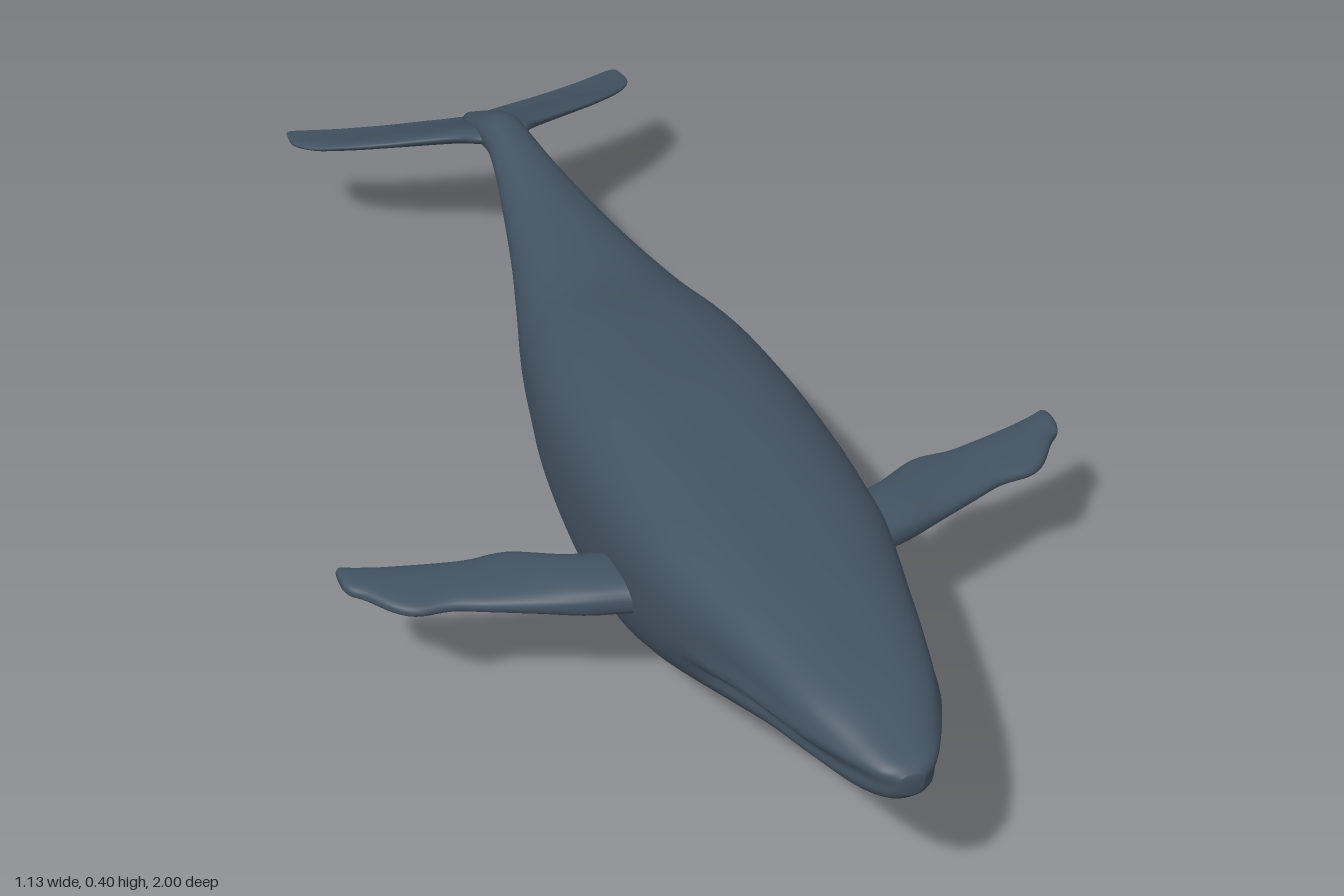
import * as THREE from 'three';

const slate = new THREE.MeshStandardMaterial({ color: 0x435362 });
slate.name = 'slate blue';

// Closed skin through rings of points; the first and last rings are shrunk to tips.
function loft(name, rings) {
  const n = rings[0].length, pos = [], idx = [];
  const tip = (r) => {
    const c = r.reduce((s, p) => s.add(p), new THREE.Vector3()).divideScalar(n);
    return r.map(() => c);
  };
  const all = [tip(rings[0]), ...rings, tip(rings[rings.length - 1])];
  all.forEach((r) => r.forEach((p) => pos.push(p.x, p.y, p.z)));
  for (let i = 0; i < all.length - 1; i++) {
    for (let j = 0; j < n; j++) {
      const a = i * n + j, b = i * n + (j + 1) % n, c = a + n, d = b + n;
      if (i > 0) idx.push(a, c, b);
      else idx.push(a, c, d);
      if (i > 0 && i < all.length - 2) idx.push(b, c, d);
    }
  }
  const g = new THREE.BufferGeometry();
  g.setAttribute('position', new THREE.Float32BufferAttribute(pos, 3));
  g.setIndex(idx);
  g.computeVertexNormals();
  const mesh = new THREE.Mesh(g, slate);
  mesh.name = name;
  return mesh;
}

// Smooth in-between rows for a short table of four-number stations.
function refine(rows, count) {
  const curve = (f) => new THREE.CatmullRomCurve3(rows.map(f), false, 'catmullrom', 0.5);
  const a = curve((r) => new THREE.Vector3(r[0], r[1], r[2]));
  const b = curve((r) => new THREE.Vector3(r[3], 0, 0));
  return Array.from({ length: count + 1 }, (_, i) => {
    const p = a.getPoint(i / count);
    return [p.x, p.y, p.z, b.getPoint(i / count).x];
  });
}

const power = (v, n) => Math.sign(v) * Math.pow(Math.abs(v), 2 / n);

function ring(count, fn) {
  return Array.from({ length: count }, (_, j) => {
    const t = (j / count) * Math.PI * 2;
    return fn(Math.cos(t), Math.sin(t));
  });
}

// Piecewise linear lookup, with x descending.
function lookup(pts, x) {
  for (let i = 1; i < pts.length; i++) {
    if (x >= pts[i][0]) {
      const [x0, y0] = pts[i - 1], [x1, y1] = pts[i];
      return y0 + (y1 - y0) * Math.min(1, Math.max(0, (x - x0) / (x1 - x0)));
    }
  }
  return pts[pts.length - 1][1];
}

// Body stations: z, back height, belly height, half width.
const BODY = [
  [1.0, 0.325, 0.292, 0.018], [0.98, 0.338, 0.272, 0.042], [0.93, 0.352, 0.25, 0.068],
  [0.85, 0.37, 0.235, 0.1], [0.75, 0.383, 0.205, 0.125], [0.65, 0.392, 0.163, 0.147],
  [0.5, 0.398, 0.1, 0.18], [0.4, 0.4, 0.055, 0.19], [0.3, 0.4, 0.02, 0.195],
  [0.15, 0.395, 0.001, 0.193], [0.0, 0.38, 0.02, 0.182], [-0.1, 0.366, 0.048, 0.166],
  [-0.2, 0.347, 0.072, 0.145], [-0.3, 0.34, 0.12, 0.118], [-0.4, 0.338, 0.165, 0.092],
  [-0.5, 0.337, 0.205, 0.07], [-0.6, 0.337, 0.24, 0.05], [-0.68, 0.338, 0.262, 0.038],
  [-0.74, 0.33, 0.256, 0.036], [-0.82, 0.287, 0.23, 0.03], [-0.9, 0.238, 0.212, 0.012],
];

// Mouth line height along the head.
const MOUTH = [[1, 0.308], [0.9, 0.295], [0.8, 0.282], [0.7, 0.262], [0.62, 0.235], [0.5, 0.19]];

function makeBody() {
  const rings = refine(BODY, 150).map(([z, top, bottom, half]) => {
    const mid = bottom + 0.6 * (top - bottom);
    const full = THREE.MathUtils.smoothstep(z, -0.6, 0.0);
    const fade = THREE.MathUtils.smoothstep(z, 0.54, 0.66);
    const line = lookup(MOUTH, z);
    return ring(96, (c, s) => {
      const n = s > 0 ? 2 + 0.8 * full : 2 + 0.4 * full;
      const y = mid + power(s, n) * (s > 0 ? top - mid : mid - bottom);
      // Groove along the mouth with a slight lip above it
      const d = (y - line) / 0.012;
      const lip = fade * (0.05 * Math.exp(-((d - 2) ** 2)) - 0.09 * Math.exp(-d * d));
      return new THREE.Vector3(half * power(c, n) * (1 + lip), y, z);
    });
  });
  return loft('body', rings);
}

// Flipper stations: distance from the middle, leading z, trailing z, half thickness.
const FLIPPER = [
  [0.13, 0.445, 0.34, 0.03], [0.19, 0.425, 0.31, 0.03], [0.25, 0.41, 0.29, 0.029],
  [0.32, 0.385, 0.252, 0.022], [0.38, 0.362, 0.248, 0.017], [0.43, 0.343, 0.238, 0.015],
  [0.48, 0.338, 0.225, 0.014], [0.51, 0.318, 0.217, 0.013], [0.54, 0.278, 0.207, 0.012],
  [0.558, 0.26, 0.2, 0.011], [0.565, 0.245, 0.206, 0.007],
];

function makeFlipper(side) {
  const rings = refine(FLIPPER, 44).map(([x, lead, trail, thick]) =>
    ring(32, (c, s) => new THREE.Vector3(
      side * x,
      0.226 + side * thick * power(s, 2.6),
      (lead + trail) / 2 + ((lead - trail) / 2) * power(c, 2.3))));
  return loft(side > 0 ? 'leftFlipper' : 'rightFlipper', rings);
}

// Tail fluke stations: distance from the middle, leading z, trailing z, half thickness.
const FLUKE = [
  [0.0, -0.7, -0.92, 0.022], [0.04, -0.72, -0.928, 0.021], [0.07, -0.757, -0.936, 0.02],
  [0.14, -0.805, -0.953, 0.016], [0.21, -0.848, -0.972, 0.013], [0.26, -0.888, -0.99, 0.01],
  [0.285, -0.914, -0.999, 0.008], [0.297, -0.935, -0.995, 0.006], [0.3, -0.95, -0.975, 0.004],
];
const DROOP = [[-0.68, 0.308], [-0.75, 0.287], [-0.82, 0.255], [-0.9, 0.222], [-0.95, 0.21], [-1, 0.203]];

function makeFluke() {
  const half = refine(FLUKE, 32);
  const mirrored = half.slice(1).reverse().map(([x, ...rest]) => [-x, ...rest]);
  const rings = [...mirrored, ...half].map(([x, lead, trail, thick]) =>
    ring(40, (c, s) => {
      const z = (lead + trail) / 2 + ((lead - trail) / 2) * c;
      const taper = 0.6 + 0.4 * c;
      return new THREE.Vector3(x, lookup(DROOP, z) + thick * s * taper, z);
    }));
  return loft('tailFluke', rings);
}

export function createModel() {
  const whale = new THREE.Group();
  whale.name = 'whale';
  whale.add(makeBody(), makeFlipper(1), makeFlipper(-1), makeFluke());
  return whale;
}
